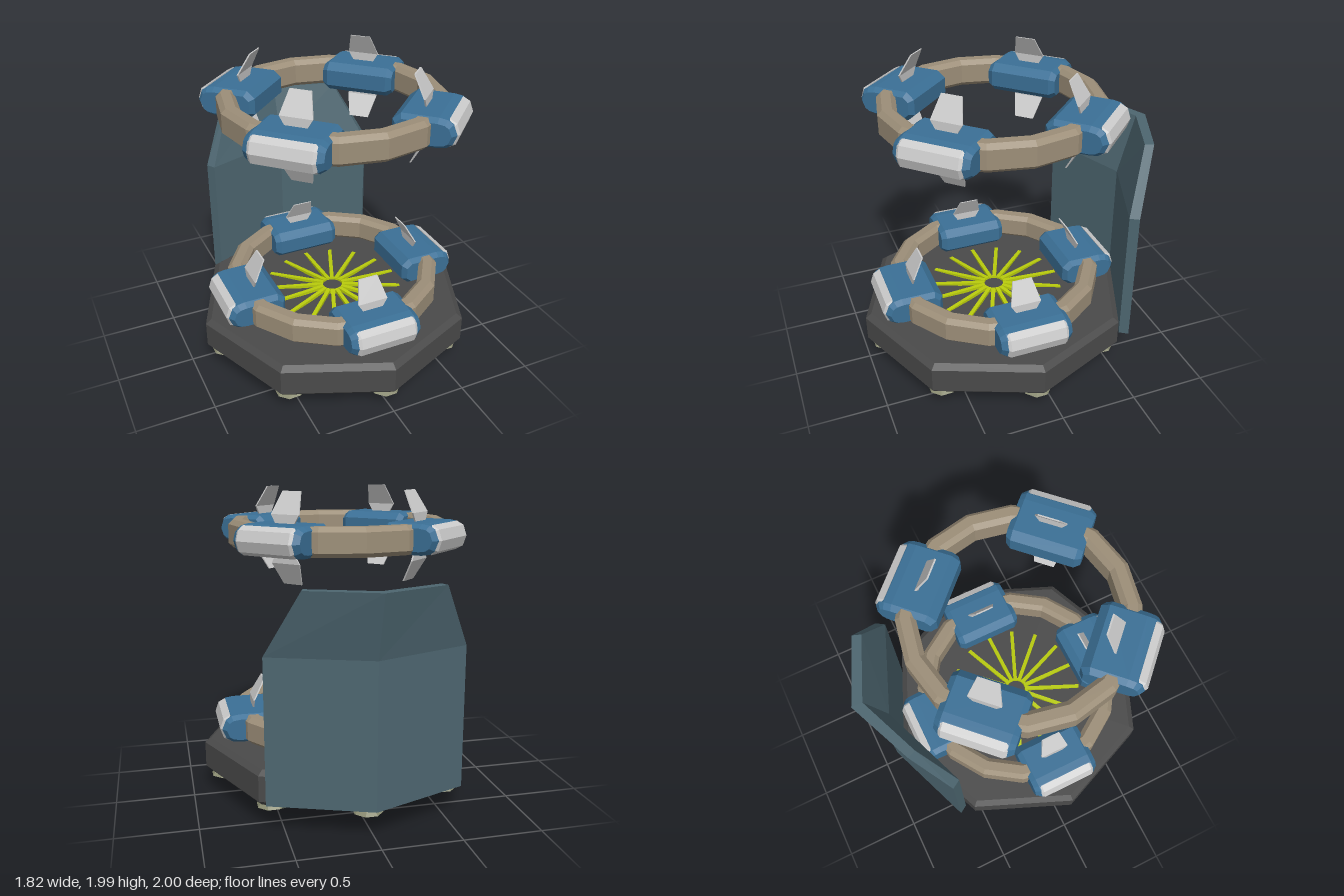
import * as THREE from 'three';

const mat = (color) => new THREE.MeshStandardMaterial({ color, flatShading: true });
const MAT = {
  base: mat(0x4a4a4a), blue: mat(0x3b7096), ring: mat(0x9c8e78), plate: mat(0xcccccc),
  spoke: mat(0xb9cc0c), foot: mat(0x8b8d72), shield: mat(0x4d6670),
};

function mesh(name, geometry, material) {
  const m = new THREE.Mesh(geometry, material);
  m.name = name;
  return m;
}

// Faceted solid of revolution from [radius, y] points
const lathe = (pts, sides) =>
  new THREE.LatheGeometry(pts.map(([r, y]) => new THREE.Vector2(r, y)), sides);

// Solid through horizontal sections { y, pts: [x, z] }, listed from the bottom up
function loft(sections) {
  const n = sections[0].pts.length;
  const pos = [], idx = [];
  sections.forEach(({ y, pts }) => pts.forEach(([x, z]) => pos.push(x, y, z)));
  for (let i = 0; i < sections.length - 1; i++) {
    for (let j = 0; j < n; j++) {
      const a = i * n + j, b = i * n + (j + 1) % n;
      idx.push(a, b, b + n, a, b + n, a + n);
    }
  }
  const cap = (s) => THREE.ShapeUtils.triangulateShape(
    s.pts.map(([x, z]) => new THREE.Vector2(x, -z)), []);
  const last = (sections.length - 1) * n;
  cap(sections[0]).forEach(([a, b, c]) => idx.push(a, c, b));
  cap(sections[sections.length - 1]).forEach(([a, b, c]) => idx.push(last + a, last + b, last + c));
  const g = new THREE.BufferGeometry();
  g.setAttribute('position', new THREE.Float32BufferAttribute(pos, 3));
  g.setIndex(idx);
  g.computeVertexNormals();
  return g;
}

// [radius, y] profile extruded sideways, with chamfered ends; radius runs along +z
function sideExtrude(profile, halfWidth, bevel) {
  const shape = new THREE.Shape(profile.map(([r, y]) => new THREE.Vector2(r, y)));
  const g = new THREE.ExtrudeGeometry(shape, {
    depth: 2 * (halfWidth - bevel), bevelEnabled: true, bevelSegments: 1,
    bevelThickness: bevel, bevelSize: bevel * 0.7, bevelOffset: -bevel * 0.7,
  });
  g.translate(0, 0, -(halfWidth - bevel));
  return g.rotateY(-Math.PI / 2);
}

const ringGeo = lathe([
  [0.62, -0.088], [0.68, -0.088], [0.71, -0.06], [0.71, 0.06], [0.68, 0.088],
  [0.62, 0.088], [0.59, 0.06], [0.59, -0.06], [0.62, -0.088]], 16);

const blockGeo = sideExtrude([
  [0.48, -0.093], [0.7, -0.093], [0.75, -0.085], [0.785, -0.062], [0.81, 0], [0.785, 0.062],
  [0.75, 0.085], [0.7, 0.093], [0.48, 0.093], [0.43, 0.05], [0.43, -0.05]], 0.235, 0.035);

const plateGeo = sideExtrude([
  [0.755, -0.088], [0.8, -0.064], [0.822, 0], [0.8, 0.064], [0.755, 0.088]], 0.2, 0.018);

// Thin fin: short upright foot, then a blade leaning inward
function finGeometry() {
  const row = (y, hw, r) => ({
    y, pts: [[-hw, r + 0.005], [hw, r + 0.005], [hw, r - 0.005], [-hw, r - 0.005]],
  });
  return loft([row(0.07, 0.055, 0.59), row(0.145, 0.1, 0.588), row(0.278, 0.065, 0.515)]);
}
const finGeo = finGeometry();

// Ring carrying four clamp blocks
function emitterRing(name, y, startAngle, finsBelow) {
  const g = new THREE.Group();
  g.name = name;
  g.position.y = y;
  g.add(mesh('ringBand', ringGeo, MAT.ring));
  for (let i = 0; i < 4; i++) {
    const clamp = new THREE.Group();
    clamp.name = 'clamp';
    clamp.rotation.y = startAngle + i * Math.PI / 2;
    clamp.add(mesh('clampBlock', blockGeo, MAT.blue));
    clamp.add(mesh('clampPlate', plateGeo, MAT.plate));
    clamp.add(mesh('finTop', finGeo, MAT.plate));
    if (finsBelow) {
      const fin = mesh('finBottom', finGeo, MAT.plate);
      fin.rotation.z = Math.PI;
      clamp.add(fin);
    }
    g.add(clamp);
  }
  return g;
}

// Claw foot: eight-sided sections sweeping down and inward
function footGeometry() {
  const section = (y, r, halfLength, hw) => ({
    y,
    pts: Array.from({ length: 8 }, (_, i) => {
      const a = (i + 0.5) * Math.PI / 4;
      return [1.08 * hw * Math.cos(a), r - 1.08 * halfLength * Math.sin(a)];
    }),
  });
  return loft([section(0, 0.54, 0.015, 0.02), section(0.1, 0.775, 0.095, 0.09),
    section(0.14, 0.78, 0.065, 0.055)]);
}

// V-shaped back shield, its top narrowing and leaning back
function shieldGeometry() {
  const section = (y, inMid, [ix, iz], outMid, [ox, oz]) => ({
    y, pts: [[0, inMid], [-ix, iz], [-ox, oz], [0, outMid], [ox, oz], [ix, iz]].reverse(),
  });
  return loft([
    section(0.18, -0.82, [0.58, -0.6], -0.89, [0.615, -0.655]),
    section(1.09, -0.82, [0.58, -0.6], -0.89, [0.615, -0.655]),
    section(1.49, -0.93, [0.4, -0.77], -1.0, [0.42, -0.825]),
  ]);
}

export function createModel() {
  const model = new THREE.Group();
  const pad = new THREE.Group();
  pad.name = 'pad';
  pad.position.z = 0.09;
  model.add(pad);

  // Octagonal platform
  pad.add(mesh('platform', lathe([
    [0, 0.135], [0.88, 0.135], [0.91, 0.165], [0.91, 0.33], [0.87, 0.36], [0, 0.36]], 8), MAT.base));

  // Floor spokes rising gently to a hub
  const spokeGeo = new THREE.BoxGeometry(0.026, 0.02, 0.4);
  for (let i = 0; i < 16; i++) {
    const arm = new THREE.Group();
    arm.name = 'spokeArm';
    arm.rotation.y = i * Math.PI / 8;
    const spoke = mesh('spoke', spokeGeo, MAT.spoke);
    spoke.position.set(0, 0.368, 0.265);
    spoke.rotation.x = 0.06;
    arm.add(spoke);
    pad.add(arm);
  }
  pad.add(mesh('hubRim', lathe([[0.07, 0.35], [0.085, 0.35], [0.085, 0.386], [0.07, 0.386], [0.07, 0.35]], 16), MAT.spoke));
  const hub = mesh('hub', new THREE.CylinderGeometry(0.07, 0.07, 0.02, 16), MAT.base);
  hub.position.y = 0.365;
  pad.add(hub);

  // Feet under each corner
  const footGeo = footGeometry();
  for (let i = 0; i < 8; i++) {
    const foot = mesh('foot', footGeo, MAT.foot);
    foot.rotation.y = i * Math.PI / 4;
    pad.add(foot);
  }

  pad.add(emitterRing('lowerRing', 0.482, 0, false));
  pad.add(emitterRing('upperRing', 1.712, Math.PI / 4, true));

  model.add(mesh('backShield', shieldGeometry(), MAT.shield));
  return model;
}
